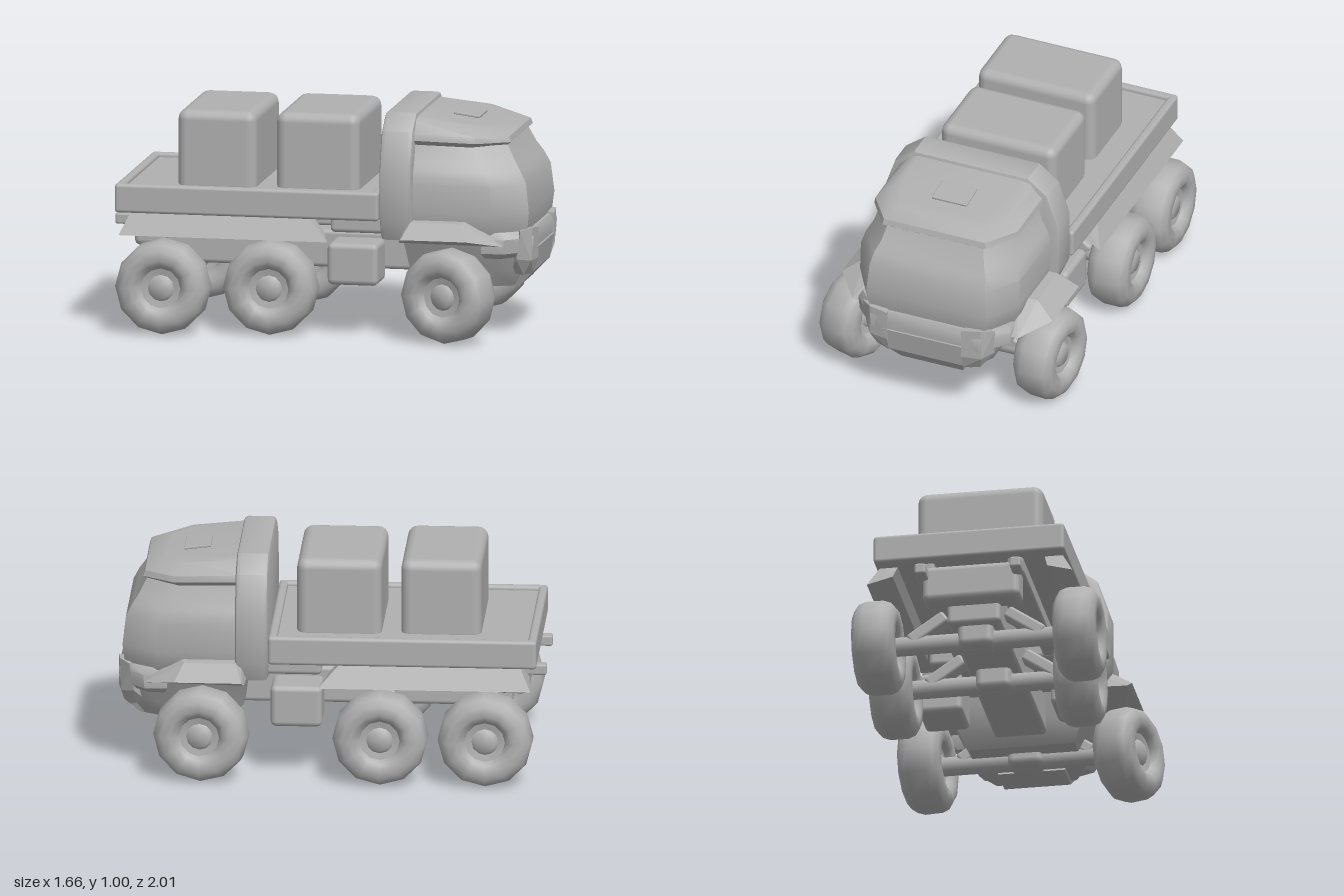
import * as THREE from 'three';
import { toCreasedNormals } from 'three/addons/utils/BufferGeometryUtils.js';
import { RoundedBoxGeometry } from 'three/addons/geometries/RoundedBoxGeometry.js';
import { ConvexGeometry } from 'three/addons/geometries/ConvexGeometry.js';

const clay = new THREE.MeshStandardMaterial({ color: 0xb0b0b0 });
clay.name = 'clay grey';

function add(parent, name, geometry, x = 0, y = 0, z = 0) {
  const mesh = new THREE.Mesh(geometry, clay);
  mesh.name = name;
  mesh.position.set(x, y, z);
  parent.add(mesh);
  return mesh;
}

// Box given by its centre and size, with rounded edges
const box = (parent, name, [x, y, z], [w, h, d], r = 0.02) =>
  add(parent, name, new RoundedBoxGeometry(w, h, d, 2, r), x, y, z);

// Convex block from a list of corners
const block = (parent, name, corners) =>
  add(parent, name, new ConvexGeometry(corners.map(c => new THREE.Vector3(...c))));

// Stack of hexagonal plan sections with chamfered front corners:
// [y, half width, rear z, chamfer start z, front z, front half width, drop of y at the front]
function loft(sections) {
  const pos = [], idx = [], n = 6, m = sections.length;
  for (const [y, w, r, s, f, fw, drop = 0] of sections) {
    pos.push(w, y, r, -w, y, r, -w, y - drop * 0.7, s, -fw, y - drop, f, fw, y - drop, f, w, y - drop * 0.7, s);
  }
  for (let i = 0; i < m - 1; i++) {
    for (let j = 0; j < n; j++) {
      const a = i * n + j, b = i * n + (j + 1) % n;
      idx.push(a, b, a + n, b, b + n, a + n);
    }
  }
  const t = (m - 1) * n;
  for (let j = 1; j < n - 1; j++) idx.push(0, j + 1, j, t, t + j, t + j + 1);
  // Make all faces point outwards whatever the ring direction
  const p = i => new THREE.Vector3().fromArray(pos, i * 3);
  let volume = 0;
  for (let i = 0; i < idx.length; i += 3) volume += p(idx[i]).dot(p(idx[i + 1]).cross(p(idx[i + 2])));
  if (volume < 0) idx.reverse();
  const g = new THREE.BufferGeometry();
  g.setAttribute('position', new THREE.Float32BufferAttribute(pos, 3));
  g.setIndex(idx);
  return toCreasedNormals(g, 0.7);
}

function makeCab(truck) {
  const cab = new THREE.Group();
  cab.name = 'cab';
  truck.add(cab);

  add(cab, 'cabBody', loft([
    [0.22, 0.24, 0.5, 0.78, 0.89, 0.18],
    [0.30, 0.28, 0.44, 0.82, 0.94, 0.22],
    [0.44, 0.34, 0.42, 0.83, 0.96, 0.26],
    [0.50, 0.375, 0.4, 0.82, 0.975, 0.28],
    [0.57, 0.385, 0.4, 0.83, 0.983, 0.29],
    [0.70, 0.385, 0.4, 0.82, 0.968, 0.28],
    [0.755, 0.37, 0.4, 0.8, 0.94, 0.27],
    [0.80, 0.345, 0.4, 0.77, 0.91, 0.25],
    [0.88, 0.32, 0.4, 0.73, 0.87, 0.23],
  ]));
  add(cab, 'roof', loft([
    [0.865, 0.32, 0.4, 0.73, 0.86, 0.22, 0.01],
    [0.89, 0.35, 0.4, 0.75, 0.893, 0.25, 0.01],
    [0.92, 0.345, 0.4, 0.75, 0.885, 0.245, 0.015],
    [0.985, 0.285, 0.4, 0.7, 0.81, 0.2, 0.045],
    [0.995, 0.25, 0.4, 0.67, 0.78, 0.18, 0.05],
  ]));
  const hatch = box(cab, 'roofHatch', [0, 0.966, 0.66], [0.17, 0.012, 0.12], 0.004);
  hatch.rotation.x = 0.13;

  // Thick hoop behind the doors
  const hoop = new THREE.Shape([
    [-0.37, 0.46], [0.37, 0.46], [0.405, 0.54], [0.405, 0.77], [0.355, 0.92],
    [0.27, 0.985], [-0.27, 0.985], [-0.355, 0.92], [-0.405, 0.77], [-0.405, 0.54],
  ].map(q => new THREE.Vector2(...q)));
  const hoopGeo = new THREE.ExtrudeGeometry(hoop, {
    depth: 0.11, bevelEnabled: true, bevelSize: 0.018, bevelThickness: 0.018, bevelSegments: 2,
  });
  add(cab, 'cabHoop', toCreasedNormals(hoopGeo, 0.6), 0, 0, 0.345);

  // Wrap-around bumper, grille and corner guards
  add(cab, 'bumper', loft([
    [0.365, 0.34, 0.79, 0.86, 0.97, 0.24],
    [0.39, 0.365, 0.78, 0.88, 0.995, 0.26],
    [0.455, 0.37, 0.78, 0.885, 1.0, 0.265],
    [0.485, 0.355, 0.78, 0.87, 0.985, 0.255],
  ]));
  block(cab, 'grille', [
    [-0.2, 0.4, 1.005], [0.2, 0.4, 1.005], [-0.18, 0.29, 0.985], [0.18, 0.29, 0.985],
    [-0.15, 0.21, 0.91], [0.15, 0.21, 0.91],
    [-0.2, 0.4, 0.85], [0.2, 0.4, 0.85], [-0.15, 0.21, 0.75], [0.15, 0.21, 0.75],
  ]);
  for (const s of [-1, 1]) {
    // Corner guard bent around the chamfer, narrowing downwards
    block(cab, 'bumperGuard', [
      [s * 0.18, 0.49, 1.005], [s * 0.27, 0.5, 0.995], [s * 0.32, 0.49, 0.95], [s * 0.2, 0.49, 0.9],
      [s * 0.18, 0.35, 1.005], [s * 0.27, 0.35, 0.99], [s * 0.31, 0.36, 0.93],
      [s * 0.18, 0.28, 0.98], [s * 0.25, 0.28, 0.95], [s * 0.2, 0.28, 0.88],
    ]);
    // Sloped front mudguard
    block(cab, 'frontMudguard', [
      [s * 0.33, 0.54, 0.45], [s * 0.33, 0.54, 0.72], [s * 0.42, 0.53, 0.47], [s * 0.42, 0.53, 0.7],
      [s * 0.51, 0.465, 0.44], [s * 0.51, 0.465, 0.74], [s * 0.4, 0.43, 0.88], [s * 0.33, 0.43, 0.88],
      [s * 0.33, 0.45, 0.42], [s * 0.49, 0.45, 0.43],
    ]);
  }
}

function makeBed(truck) {
  const bed = new THREE.Group();
  bed.name = 'loadBed';
  truck.add(bed);
  box(bed, 'bedFloor', [0, 0.585, -0.275], [0.84, 0.11, 1.17], 0.02);
  for (const s of [-1, 1]) {
    box(bed, 'sideRail', [s * 0.412, 0.595, -0.275], [0.04, 0.13, 1.2], 0.015);
    box(bed, 'endRail', [0, 0.595, -0.275 + s * 0.58], [0.86, 0.13, 0.04], 0.015);
    // Skirt flaring out above the two rear wheels
    block(bed, 'rearMudguard', [
      [s * 0.33, 0.54, -0.8], [s * 0.33, 0.54, 0], [s * 0.41, 0.54, -0.8], [s * 0.41, 0.54, 0],
      [s * 0.465, 0.435, -0.85], [s * 0.465, 0.435, 0.1], [s * 0.35, 0.47, -0.84], [s * 0.35, 0.47, 0.06],
    ]);
    box(bed, 'towHook', [s * 0.215, 0.47, -0.86], [0.05, 0.05, 0.1], 0.01);
  }
  // Two large crates
  box(bed, 'rearCrate', [-0.005, 0.79, -0.44], [0.57, 0.38, 0.36], 0.045);
  box(bed, 'frontCrate', [0.01, 0.79, 0.015], [0.56, 0.38, 0.38], 0.045);
}

function makeChassis(truck) {
  const chassis = new THREE.Group();
  chassis.name = 'chassis';
  truck.add(chassis);
  box(chassis, 'subframe', [0, 0.5, 0.22], [0.7, 0.08, 0.26], 0.02);
  box(chassis, 'backbone', [0, 0.345, -0.1], [0.24, 0.17, 1.3], 0.02);
  box(chassis, 'rearCrossMember', [0, 0.43, -0.76], [0.44, 0.17, 0.14], 0.03);
  for (const s of [-1, 1]) {
    box(chassis, 'frameRail', [s * 0.2, 0.51, -0.25], [0.07, 0.08, 1.14], 0.015);
    box(chassis, 'sideTank', [s * 0.3, 0.325, 0.2], [0.2, 0.19, 0.23], 0.025);
  }
  for (const z of [0.63, -0.19, -0.65]) {
    const axle = add(chassis, 'axle', new THREE.CylinderGeometry(0.045, 0.045, 0.76, 8), 0, 0.21, z);
    axle.rotation.z = Math.PI / 2;
    box(chassis, 'axleHousing', [0, 0.23, z], [0.16, 0.12, 0.13], 0.03);
    for (const s of [-1, 1]) {
      const arm = box(chassis, 'suspensionArm', [s * 0.22, 0.28, z], [0.2, 0.06, 0.08], 0.015);
      arm.rotation.z = -s * 0.6;
    }
  }
}

// Balloon tyre with a dished rim and a low hub, turned about x
function wheelGeometry() {
  const half = [[0.212, 0.04], [0.2, 0.073], [0.17, 0.095], [0.13, 0.098], [0.105, 0.085], [0.09, 0.062], [0.06, 0.056], [0.045, 0.07], [0, 0.07]];
  const profile = [...half.map(([r, h]) => [r, -h]).reverse(), ...half];
  const g = new THREE.LatheGeometry(profile.map(q => new THREE.Vector2(...q)), 12);
  g.rotateZ(-Math.PI / 2);
  return toCreasedNormals(g, 0.8);
}

export function createModel() {
  const model = new THREE.Group();
  model.name = 'sixWheelTruck';
  const truck = new THREE.Group();
  truck.name = 'truck';
  truck.rotation.y = 0.434;
  model.add(truck);

  const body = new THREE.Group();
  body.name = 'body';
  body.position.x = 0.018;
  truck.add(body);
  makeCab(body);
  makeBed(body);
  makeChassis(body);

  // Wheels: name, x, z, steering angle
  const geo = wheelGeometry();
  const wheels = [
    ['frontWheelLeft', 0.465, 0.62, -0.1], ['frontWheelRight', -0.44, 0.65, -0.3],
    ['middleWheelLeft', 0.47, -0.18, 0], ['middleWheelRight', -0.365, -0.17, 0],
    ['rearWheelLeft', 0.465, -0.65, 0], ['rearWheelRight', -0.445, -0.645, 0],
  ];
  for (const [name, x, z, steer] of wheels) add(truck, name, geo, x, 0.212, z).rotation.y = steer;
  return model;
}
